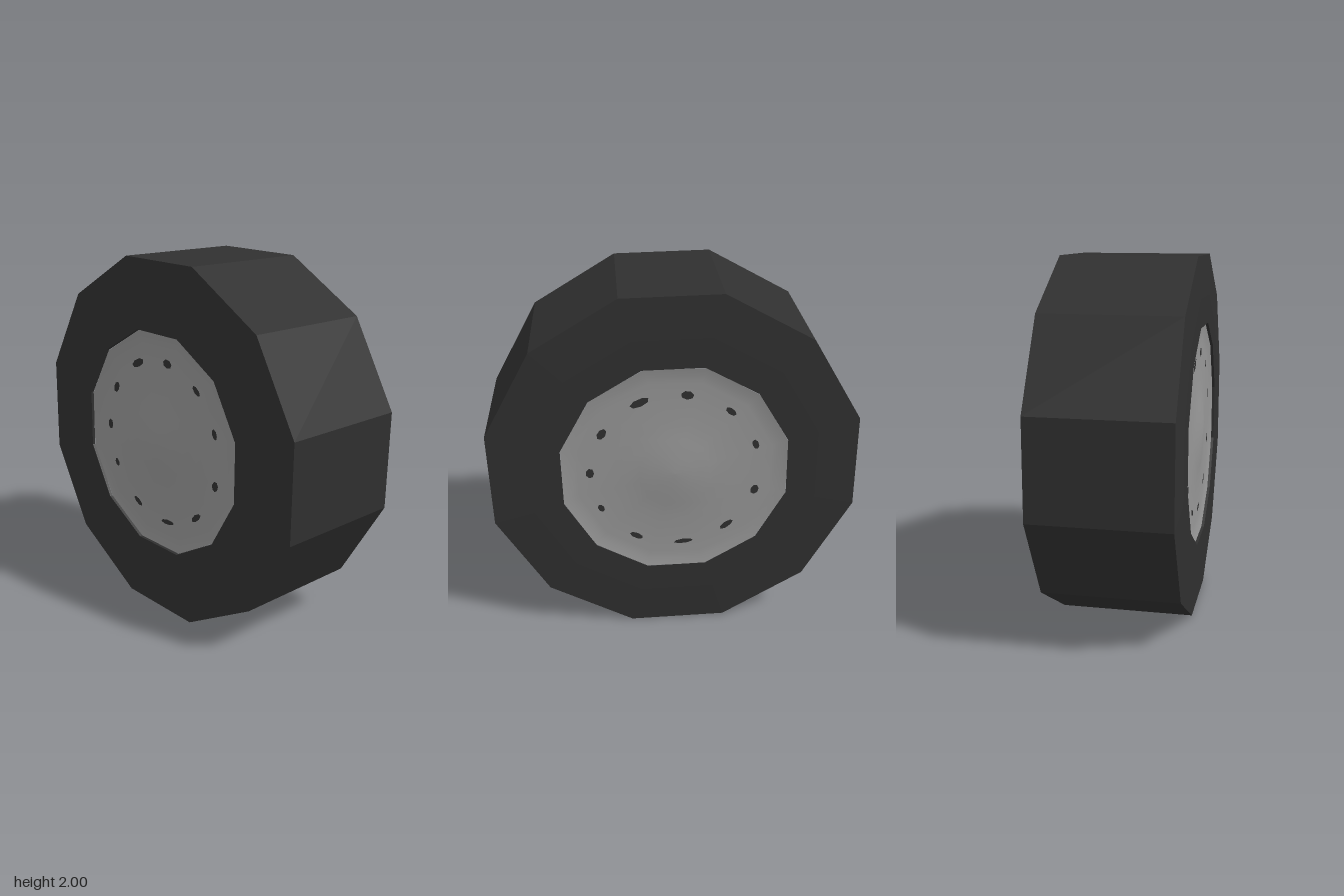
import * as THREE from 'three';

const rad = THREE.MathUtils.degToRad;

// Twelve-sided lathe turned so that its axis lies along x.
// Profile entries are [radius, x]; turn is the angle of the first corner.
function wheelLathe(profile, turn) {
  const points = profile.map(([r, x]) => new THREE.Vector2(r, x));
  return new THREE.LatheGeometry(points, 12, -rad(turn)).rotateZ(-Math.PI / 2);
}

export function createModel() {
  const model = new THREE.Group();
  model.name = 'wheel';

  const rubber = new THREE.MeshStandardMaterial({ color: 0x303030, flatShading: true });
  rubber.name = 'dark rubber';
  const metal = new THREE.MeshStandardMaterial({ color: 0x979797 });
  metal.name = 'grey metal';

  // Tyre: flat tread with very slightly bulging sidewalls, open in the middle
  const tyre = new THREE.Mesh(wheelLathe([
    [0.632, -0.373], [0.634, -0.388], [0.8, -0.388], [1.031, -0.378],
    [1.031, 0.363], [0.8, 0.373], [0.632, 0.373],
  ], 14), rubber);
  tyre.name = 'tyre';
  tyre.position.y = 1;
  model.add(tyre);

  // Hub: shallow dish with a raised lip and a low domed centre
  const hubGeometry = wheelLathe([
    [0.632, 0.373], [0.59, 0.364], [0.54, 0.36], [0.42, 0.36],
    [0.3, 0.364], [0.2, 0.372], [0.1, 0.386], [0, 0.389],
  ], 15);

  // Small dark slots around the dish: [angle from z towards y, length, width]
  const slots = [
    [1, 0.06, 0.045], [32, 0.07, 0.045], [66, 0.11, 0.045], [98, 0.07, 0.05],
    [130, 0.07, 0.035], [161, 0.06, 0.035], [197, 0.06, 0.045], [231, 0.09, 0.035],
    [264, 0.11, 0.03], [298, 0.08, 0.035], [332, 0.05, 0.035],
  ];

  for (const [name, yaw] of [['left', 0], ['right', Math.PI]]) {
    const side = new THREE.Group();
    side.name = name + 'Hub';
    side.position.y = 1;
    side.rotation.y = yaw;

    const hub = new THREE.Mesh(hubGeometry, metal);
    hub.name = 'hubDish';
    side.add(hub);

    for (const [angle, length, width] of slots) {
      const a = rad(angle);
      const plate = new THREE.CircleGeometry(0.5, 7);
      plate.scale(width, length, 1);
      plate.rotateY(Math.PI / 2);
      plate.rotateX(-a);
      const slot = new THREE.Mesh(plate, rubber);
      slot.name = 'hubSlot';
      slot.position.set(0.3625, 0.46 * Math.sin(a), 0.46 * Math.cos(a));
      side.add(slot);
    }
    model.add(side);
  }
  return model;
}
